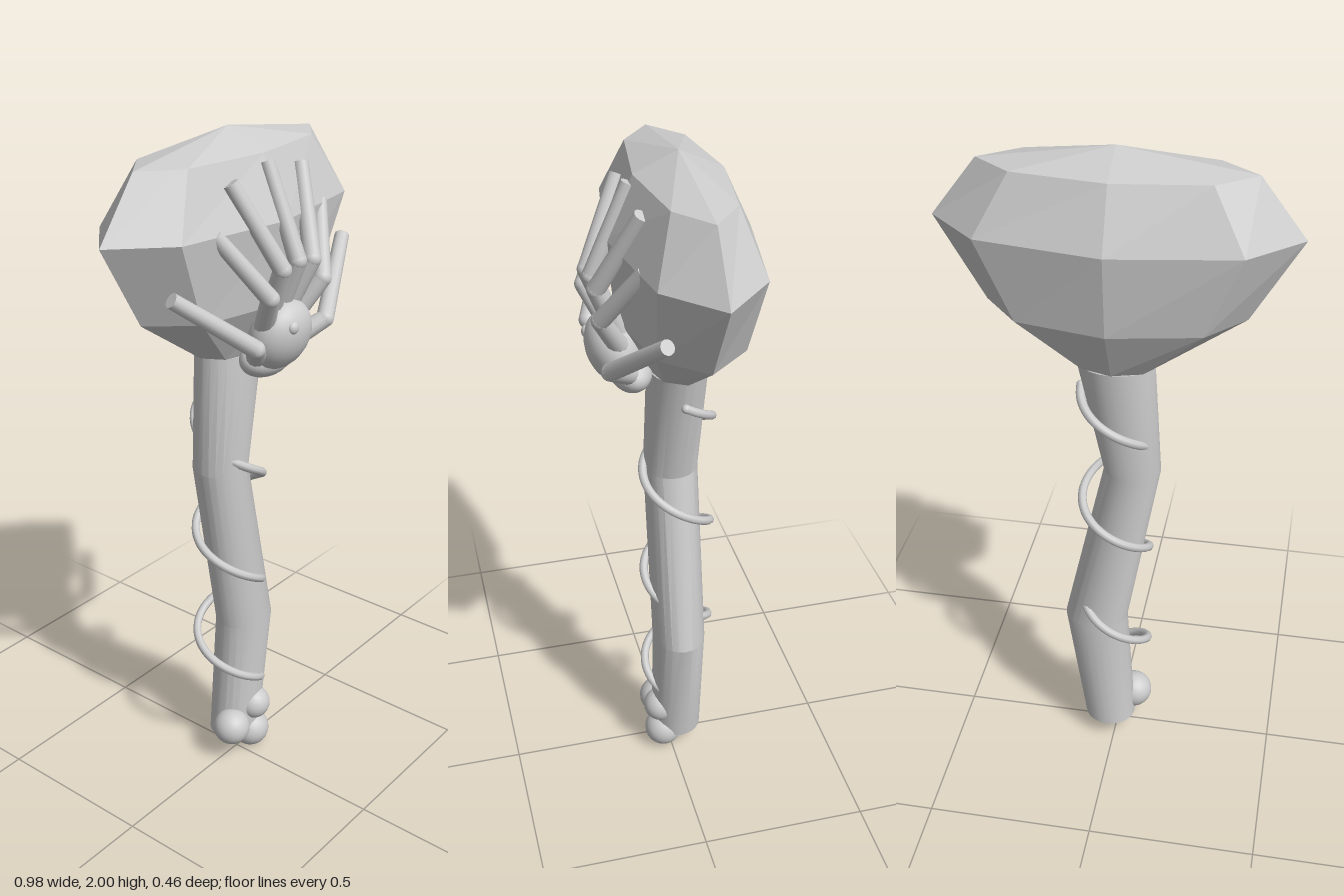
import * as THREE from 'three';
import { toCreasedNormals } from 'three/addons/utils/BufferGeometryUtils.js';

const stone = new THREE.MeshStandardMaterial({ color: 0xcccccc });
stone.name = 'pale grey';

// Skin elliptical rings [x, y, z, rx, rz], listed from bottom to top
function loft(rings, sides, crease) {
  const pos = [], index = [];
  for (const [x, y, z, rx, rz] of rings) {
    for (let i = 0; i < sides; i++) {
      const a = (i / sides) * Math.PI * 2;
      pos.push(x + rx * Math.cos(a), y, z + rz * Math.sin(a));
    }
  }
  for (let r = 0; r < rings.length - 1; r++) {
    for (let i = 0; i < sides; i++) {
      const a = r * sides + i, b = r * sides + (i + 1) % sides;
      const c = a + sides, d = b + sides;
      if (rings[r][3] > 0) index.push(a, c, b);
      if (rings[r + 1][3] > 0) index.push(b, c, d);
    }
  }
  // close triangles that meet at a zero-radius ring
  rings.forEach((ring, r) => {
    if (ring[3] > 0 || r === 0) return;
    for (let i = 0; i < sides; i++) {
      const a = (r - 1) * sides + i, b = (r - 1) * sides + (i + 1) % sides;
      if (!(rings[r - 1][3] > 0)) index.push(a, a + sides, b);
    }
  });
  const geo = new THREE.BufferGeometry();
  geo.setAttribute('position', new THREE.Float32BufferAttribute(pos, 3));
  geo.setIndex(index);
  return toCreasedNormals(geo, crease);
}

export function createModel() {
  const model = new THREE.Group();
  model.name = 'gemStaff';
  const add = (name, geo, parent = model) => {
    const mesh = new THREE.Mesh(geo, stone);
    mesh.name = name;
    parent.add(mesh);
    return mesh;
  };
  const ball = (name, x, y, z, rx, ry = rx, rz = rx, parent = model) => {
    const mesh = add(name, new THREE.SphereGeometry(1, 24, 16), parent);
    mesh.position.set(x, y, z);
    mesh.scale.set(rx, ry, rz);
    return mesh;
  };

  // Faceted gem
  add('gem', loft([
    [0, 1.375, -0.03, 0, 0],
    [0, 1.385, -0.03, 0.12, 0.085],
    [0, 1.545, -0.03, 0.355, 0.17],
    [0, 1.78, -0.03, 0.492, 0.197],
    [0, 1.945, -0.03, 0.365, 0.12],
    [0, 2.0, -0.03, 0, 0],
  ], 8, 0.01));

  // Crooked shaft
  add('shaft', loft([
    [0.02, 0.06, -0.025, 0, 0],
    [0.02, 0.06, -0.025, 0.08, 0.078],
    [0.063, 0.47, -0.022, 0.097, 0.08],
    [-0.047, 1.03, -0.022, 0.083, 0.08],
    [0, 1.385, -0.03, 0.11, 0.085],
    [0, 1.385, -0.03, 0, 0],
  ], 24, 0.33));

  // Vine winding three turns down the shaft
  const vinePoints = [];
  for (let i = 0; i <= 72; i++) {
    const t = i / 72, a = t * Math.PI * 6;
    vinePoints.push(new THREE.Vector3(
      0.1 * Math.cos(a), 1.3 - 1.09 * t, -0.03 - 0.1 * Math.sin(a)));
  }
  const vineCurve = new THREE.CatmullRomCurve3(vinePoints);
  add('vine', new THREE.TubeGeometry(vineCurve, 180, 0.013, 8));
  ball('vineTip', ...vinePoints[0].toArray(), 0.013);
  ball('vineTip', ...vinePoints[72].toArray(), 0.013);

  // Cluster of bulbs at the foot
  ball('bulb', -0.05, 0.115, 0.02, 0.058);
  ball('bulb', 0.045, 0.163, 0.033, 0.053);
  ball('bulb', 0.043, 0.06, 0.022, 0.06);

  // Spider-like clasp: body, belly and bump
  const clasp = new THREE.Group();
  clasp.name = 'clasp';
  model.add(clasp);
  const body = ball('claspBody', 0, 1.465, 0.15, 0.102, 0.105, 0.075, clasp);
  body.rotation.x = 0.35;
  ball('claspBelly', 0, 1.39, 0.105, 0.095, 0.055, 0.06, clasp);
  ball('claspBump', -0.03, 1.505, 0.217, 0.018, 0.018, 0.014, clasp);

  // Bent legs: straight rods joined by a rounded knee
  const rod = (from, to, r0, r1) => {
    const a = new THREE.Vector3(...from), b = new THREE.Vector3(...to);
    const dir = b.clone().sub(a);
    const mesh = add('legRod', new THREE.CylinderGeometry(r1, r0, dir.length(), 12), clasp);
    mesh.position.copy(a).addScaledVector(dir, 0.5);
    mesh.quaternion.setFromUnitVectors(new THREE.Vector3(0, 1, 0), dir.normalize());
  };
  const legs = [
    [[0.05, 1.4, 0.11], [0.155, 1.475, 0.19], [0.37, 1.645, 0.09]],
    [[0.05, 1.47, 0.13], [0.115, 1.605, 0.205], [0.225, 1.78, 0.11]],
    [[0.03, 1.5, 0.13], [0.065, 1.67, 0.205], [0.148, 1.895, 0.1]],
    [[0, 1.5, 0.13], [0, 1.68, 0.205], [0, 1.925, 0.1]],
  ];
  for (const [root, knee, tip] of legs) {
    for (const s of root[0] > 0 ? [1, -1] : [1]) {
      const m = ([x, y, z]) => [x * s, y, z];
      rod(m(root), m(knee), 0.03, 0.025);
      rod(m(knee), m(tip), 0.025, 0.021);
      ball('legKnee', ...m(knee), 0.025, 0.025, 0.025, clasp);
    }
  }
  return model;
}
